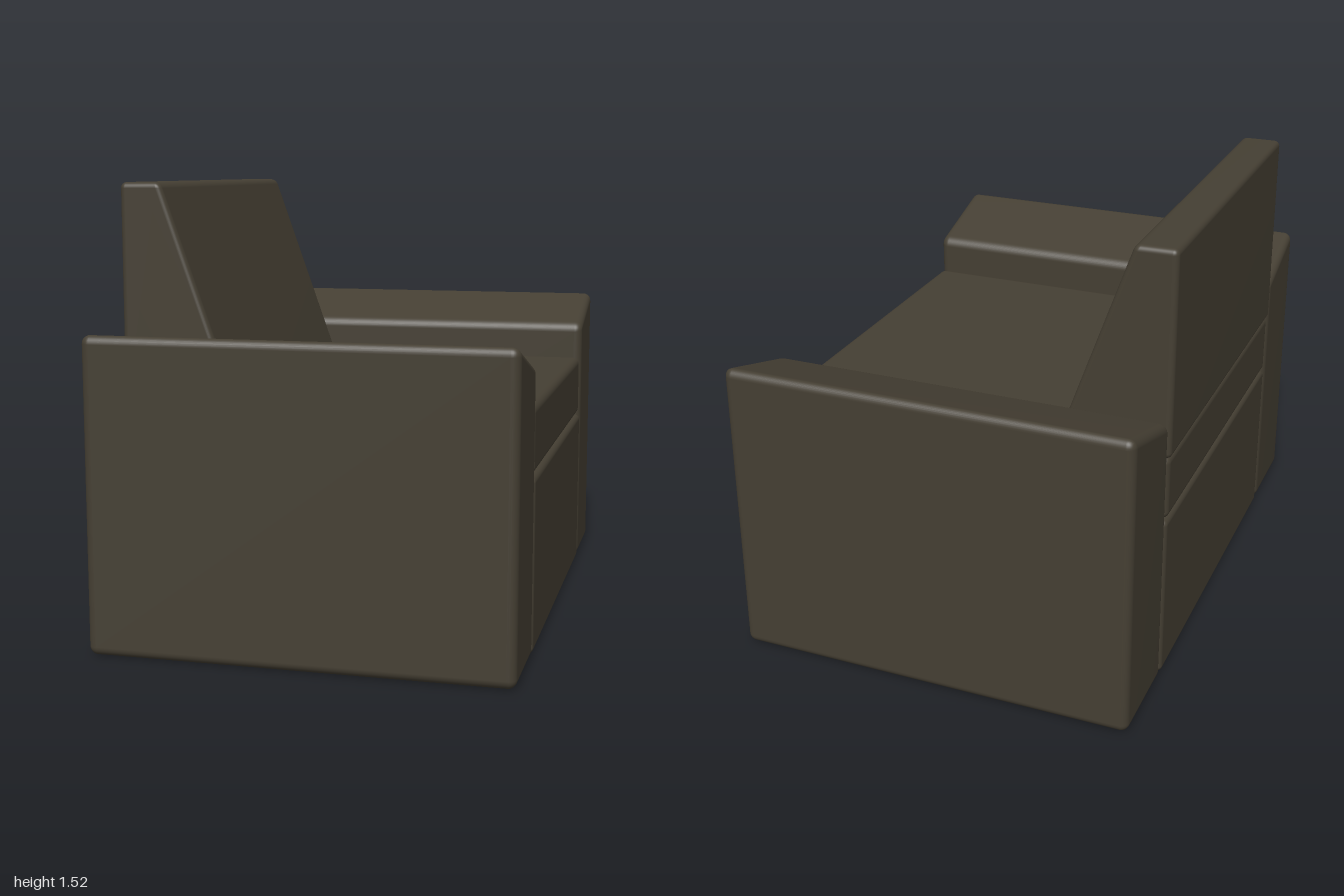
import * as THREE from 'three';
import { RoundedBoxGeometry } from 'three/addons/geometries/RoundedBoxGeometry.js';
import { mergeVertices } from 'three/addons/utils/BufferGeometryUtils.js';

const fabric = new THREE.MeshStandardMaterial({ color: 0x453f33 });

// Rounded block between two corners; an optional rule moves its vertices.
function block(name, min, max, radius, rule) {
  const size = max.map((v, i) => v - min[i]);
  const centre = max.map((v, i) => (v + min[i]) / 2);
  let geometry = new RoundedBoxGeometry(...size, 4, radius);
  geometry.translate(...centre);
  if (rule) {
    const pos = geometry.attributes.position;
    const v = new THREE.Vector3();
    for (let i = 0; i < pos.count; i++) {
      rule(v.fromBufferAttribute(pos, i));
      pos.setXYZ(i, v.x, v.y, v.z);
    }
    // weld, so the moved surface keeps smooth rounded edges
    geometry.deleteAttribute('normal');
    geometry.deleteAttribute('uv');
    geometry = mergeVertices(geometry, 1e-5);
    geometry.computeVertexNormals();
  }
  const mesh = new THREE.Mesh(geometry, fabric);
  mesh.name = name;
  return mesh;
}

export function createModel() {
  const chair = new THREE.Group();
  chair.name = 'armchair';

  // Base and seat cushion; the seat opens towards +x
  chair.add(block('base', [-0.7, 0, -0.645], [0.7, 0.588, 0.645], 0.02));
  chair.add(block('seatCushion', [-0.7, 0.592, -0.642], [0.695, 0.818, 0.642], 0.025));

  // Wedge backrest: its front face leans back towards the top
  chair.add(block('backrest', [-0.705, 0.815, -0.645], [-0.315, 1.52, 0.645], 0.02, (v) => {
    if (v.x > -0.51) v.x -= 0.25 * (v.y - 0.815) / 0.705;
  }));

  // Arms: tops slope down towards the seat
  const slopeTop = (v) => {
    if (v.y > 0.5) v.y -= 0.3 * Math.max(0, 0.98 - Math.abs(v.z));
  };
  chair.add(block('armFarSide', [-0.7, 0, -1], [0.7, 1.047, -0.648], 0.03, slopeTop));
  chair.add(block('armNearSide', [-0.7, 0, 0.648], [0.7, 1.047, 1], 0.03, slopeTop));

  return chair;
}
